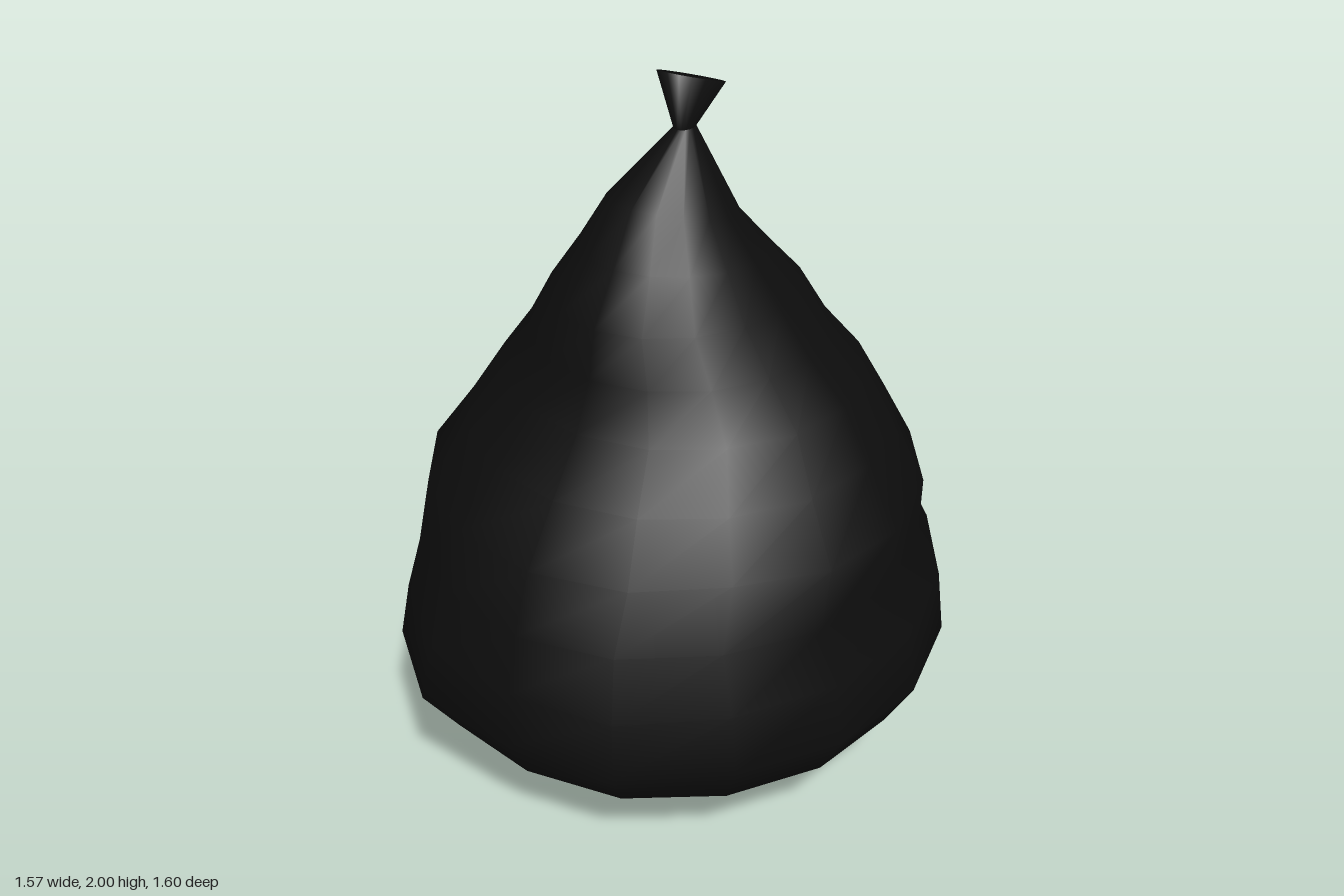
import * as THREE from 'three';

const SIDES = 16;

// Each ring: [y at front, y at back, half width, front z, back z, x shift]
const BODY = [
  [0.005, 0.003, 0.15, 0.16, -0.16, 0],
  [0.02, 0.01, 0.30, 0.32, -0.31, 0],
  [0.04, 0.02, 0.445, 0.48, -0.455, 0],
  [0.15, 0.13, 0.575, 0.60, -0.595, 0],
  [0.26, 0.26, 0.705, 0.725, -0.695, 0],
  [0.40, 0.40, 0.785, 0.80, -0.77, 0],
  [0.56, 0.56, 0.75, 0.785, -0.795, 0],
  [0.72, 0.72, 0.695, 0.745, -0.70, 0],
  [0.88, 0.88, 0.695, 0.68, -0.68, 0],
  [1.03, 1.03, 0.59, 0.565, -0.615, 0],
  [1.17, 1.17, 0.505, 0.455, -0.535, 0],
  [1.30, 1.29, 0.405, 0.395, -0.435, 0],
  [1.43, 1.41, 0.325, 0.37, -0.375, 0],
  [1.56, 1.50, 0.245, 0.28, -0.28, 0],
  [1.69, 1.60, 0.17, 0.20, -0.18, 0],
  [1.85, 1.85, 0.026, 0.02, -0.05, 0.02],
];
const KNOT = [
  [1.85, 1.85, 0.026, 0.02, -0.05, 0.02],
  [2.0, 1.92, 0.076, 0.035, -0.19, 0],
];

// Soft lumps in the sack: a bulge low at the front and a dent above it on the left
function lump(angle, y) {
  const bump = (a, ya, w, h) => {
    const d = Math.atan2(Math.sin(angle - a), Math.cos(angle - a));
    return Math.exp(-((d / w) ** 2) - ((y - ya) / h) ** 2);
  };
  return 1 + 0.045 * (bump(0.39, 0.45, 0.2, 0.15) + bump(-0.39, 0.45, 0.2, 0.15))
    - 0.06 * bump(0.7, 0.85, 0.3, 0.12);
}

// Joins the rings into a skin; endpoints [y, z] close the bottom and top
function skin(rings, bottom, top, shape = () => 1) {
  const pos = [], index = [];
  for (const [yf, yb, rx, zf, zb, cx] of rings) {
    for (let i = 0; i < SIDES; i++) {
      const a = (i / SIDES) * Math.PI * 2;
      const y = (yf + yb) / 2 + ((yf - yb) / 2) * Math.cos(a);
      const s = shape(a, y);
      pos.push(cx + rx * s * Math.sin(a), y, (zf + zb) / 2 + ((zf - zb) / 2) * s * Math.cos(a));
    }
  }
  for (let r = 0; r < rings.length - 1; r++) {
    for (let i = 0; i < SIDES; i++) {
      const a = r * SIDES + i, b = r * SIDES + (i + 1) % SIDES;
      index.push(a, b, b + SIDES, a, b + SIDES, a + SIDES);
    }
  }
  const cap = (end, start, up) => {
    if (!end) return;
    const c = pos.length / 3;
    pos.push(0, end[0], end[1]);
    for (let i = 0; i < SIDES; i++) {
      const a = start + i, b = start + (i + 1) % SIDES;
      index.push(...(up ? [a, b, c] : [b, a, c]));
    }
  };
  cap(bottom, 0, false);
  cap(top, (rings.length - 1) * SIDES, true);
  const geo = new THREE.BufferGeometry();
  geo.setAttribute('position', new THREE.Float32BufferAttribute(pos, 3));
  geo.setIndex(index);
  geo.computeVertexNormals();
  return geo;
}

export function createModel() {
  const group = new THREE.Group();
  group.name = 'tiedSack';
  const material = new THREE.MeshStandardMaterial({ color: 0x0d0d0d, side: THREE.DoubleSide });
  const add = (name, geometry) => {
    const mesh = new THREE.Mesh(geometry, material);
    mesh.name = name;
    group.add(mesh);
  };

  // Full, slumped bag
  add('sackBody', skin(BODY, [0, 0], null, lump));
  // Flared, tilted end above the tie
  add('tiedEnd', skin(KNOT, null, [1.955, -0.078]));
  return group;
}
